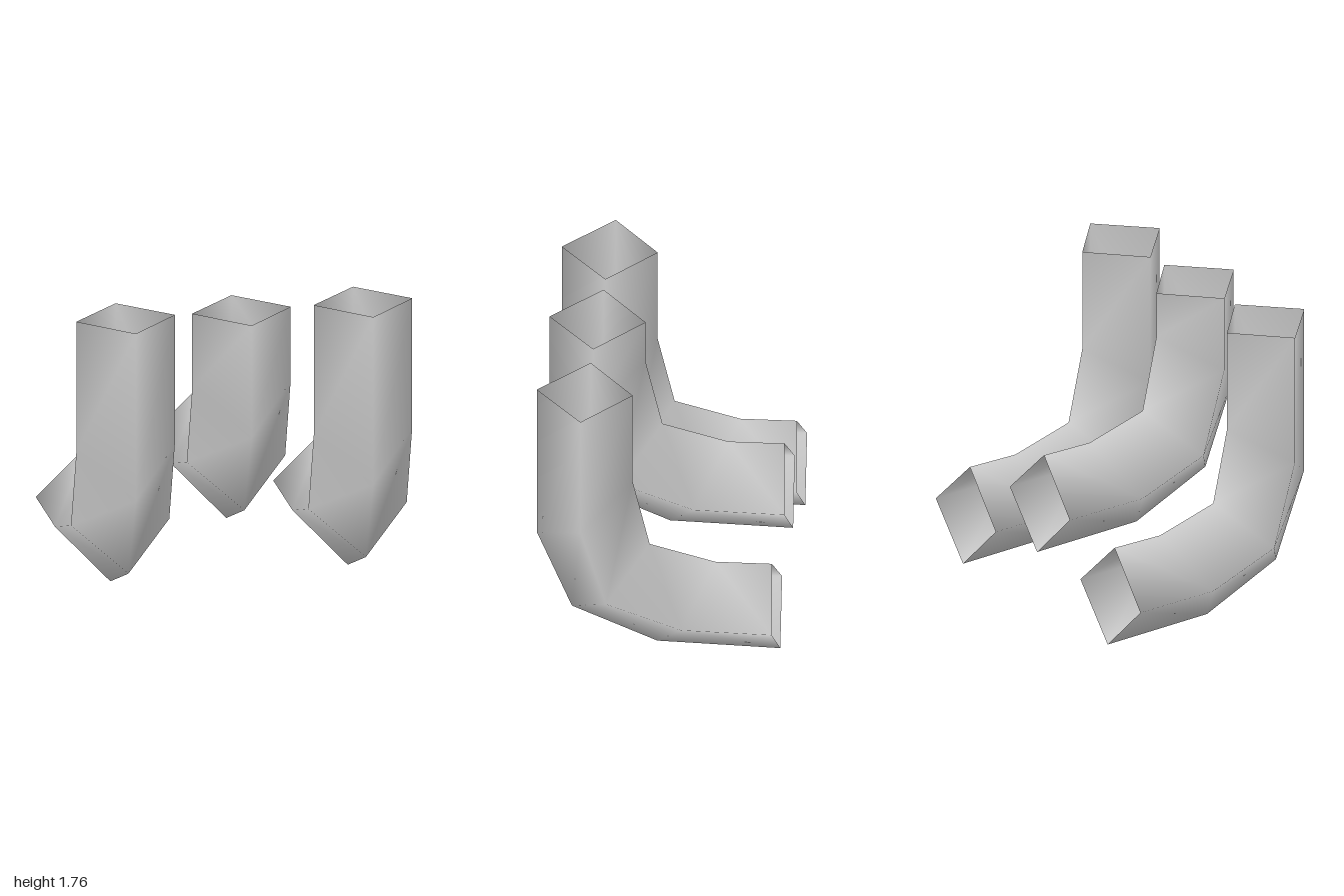
import * as THREE from 'three';

// Cross-sections down the pipe as [z, y]: outer corner, side corners, inner corner
const SECTIONS = [
  [[0.715, 1.76], [0.43, 1.76], [0.155, 1.76]],
  [[0.715, 0.73], [0.43, 0.96], [0.155, 1.14]],
  [[0.51, 0.215], [0.28, 0.455], [0.055, 0.695]],
  [[0.01, 0], [-0.16, 0.30], [-0.33, 0.595]],
  [[-0.71, 0], [-0.69, 0.305], [-0.66, 0.605]],
];
const HALF_WIDTH = 0.293;

// Open four-sided elbow; lift raises everything below the top opening
function elbowPipe(lift) {
  const positions = [];
  const indices = [];
  SECTIONS.forEach(([outer, side, inner], row) => {
    const dy = row === 0 ? 0 : lift;
    const corners = [[0, outer], [HALF_WIDTH, side], [0, inner], [-HALF_WIDTH, side]];
    for (const [x, [z, y]] of corners) positions.push(x, y + dy, z);
  });
  for (let row = 0; row < SECTIONS.length - 1; row++) {
    for (let j = 0; j < 4; j++) {
      const a = row * 4 + j;
      const b = row * 4 + (j + 1) % 4;
      indices.push(a, a + 4, b, b, a + 4, b + 4);
    }
  }
  const geometry = new THREE.BufferGeometry();
  geometry.setAttribute('position', new THREE.Float32BufferAttribute(positions, 3));
  geometry.setIndex(indices);
  geometry.computeVertexNormals();
  return geometry;
}

export function createModel() {
  const group = new THREE.Group();
  group.name = 'elbowPipes';
  const material = new THREE.MeshStandardMaterial({ color: 0xcccccc, side: THREE.DoubleSide });

  // Two long pipes with a shorter one between them
  const pipes = [
    ['rightPipe', -0.707, 0],
    ['middlePipe', -0.017, 0.34],
    ['leftPipe', 0.707, 0],
  ];
  for (const [name, x, lift] of pipes) {
    const pipe = new THREE.Mesh(elbowPipe(lift), material);
    pipe.name = name;
    pipe.position.x = x;
    group.add(pipe);
  }
  return group;
}
